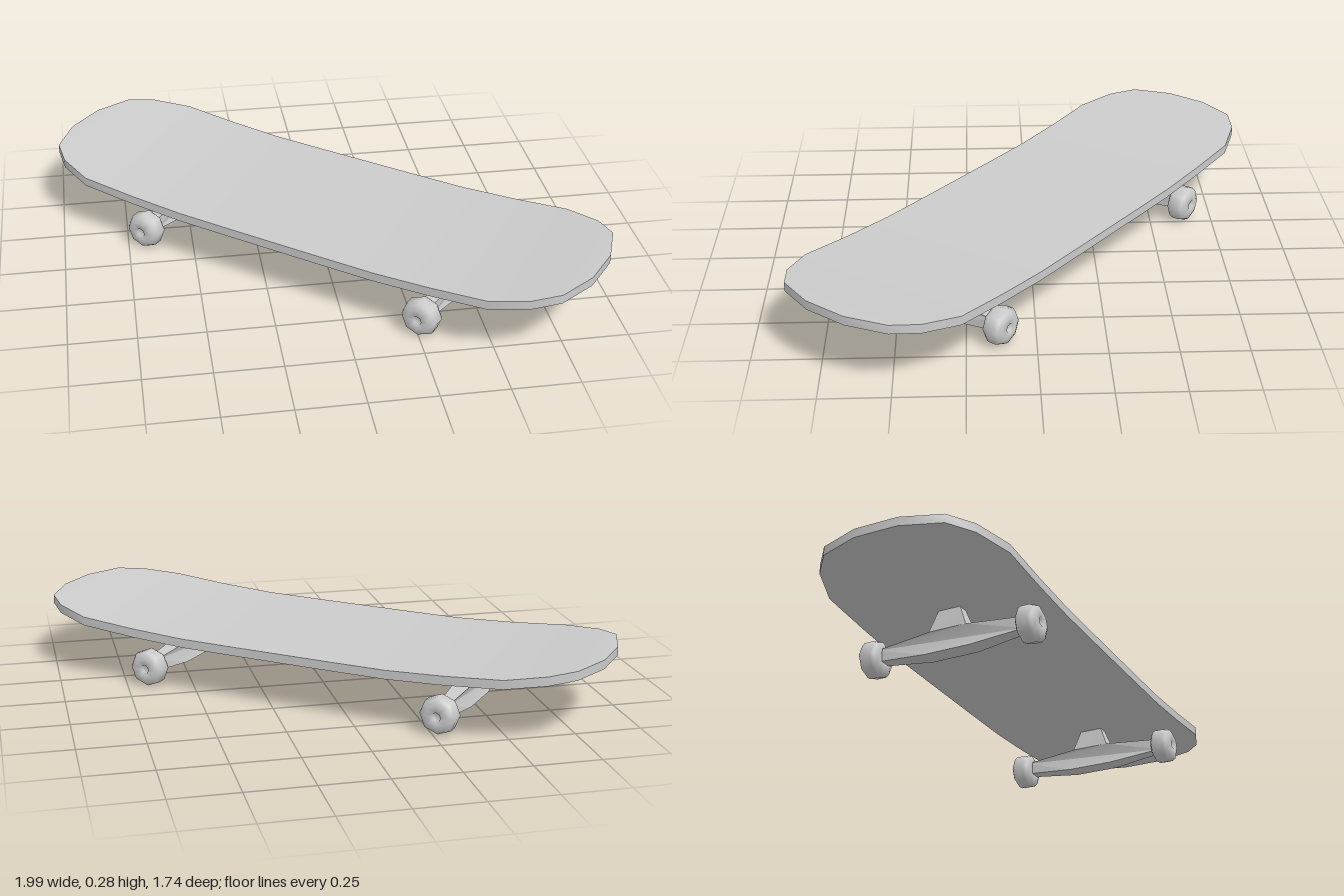
import * as THREE from 'three';
import { toCreasedNormals } from 'three/addons/utils/BufferGeometryUtils.js';

const grey = new THREE.MeshStandardMaterial({ color: 0xcccccc });

function addMesh(parent, name, geometry) {
  const mesh = new THREE.Mesh(geometry, grey);
  mesh.name = name;
  parent.add(mesh);
  return mesh;
}

// Deck: rectangular cross-sections lofted along x, with kicked-up rounded ends
function deckGeometry() {
  // distance from centre, half width, top height
  const half = [
    [0.2, 0.361, 0.22], [0.42, 0.361, 0.221], [0.64, 0.361, 0.232], [0.863, 0.361, 0.25],
    [1.006, 0.309, 0.268], [1.09, 0.237, 0.279], [1.139, 0.085, 0.282],
  ];
  const stations = [...half.map(([x, w, y]) => [-x, w, y]).reverse(), ...half];
  const thickness = 0.034;
  const positions = [];
  const index = [];
  stations.forEach(([x, w, y]) => {
    positions.push(x, y, w, x, y, -w, x, y - thickness, -w, x, y - thickness, w);
  });
  for (let i = 0; i < stations.length - 1; i++) {
    for (let k = 0; k < 4; k++) {
      const a = i * 4 + k, a1 = i * 4 + (k + 1) % 4;
      index.push(a, a + 4, a1, a + 4, a1 + 4, a1);
    }
  }
  const e = (stations.length - 1) * 4;
  index.push(0, 1, 2, 0, 2, 3, e, e + 2, e + 1, e, e + 3, e + 2);
  const g = new THREE.BufferGeometry();
  g.setAttribute('position', new THREE.Float32BufferAttribute(positions, 3));
  g.setIndex(index);
  return toCreasedNormals(g, 0.7);
}

// Truck: extruded hanger silhouette, thinner towards the axle ends and the top
function truckGeometry() {
  const right = [[0.09, 0.03], [0.3, 0.052], [0.3, 0.098], [0.075, 0.115], [0.042, 0.205]];
  const left = right.map(([x, y]) => [-x, y]).reverse();
  const shape = new THREE.Shape([...right, ...left].map(([x, y]) => new THREE.Vector2(x, y)));
  const g = new THREE.ExtrudeGeometry(shape, { depth: 1, bevelEnabled: false });
  g.translate(0, 0, -0.5);
  const p = g.attributes.position;
  for (let i = 0; i < p.count; i++) {
    const thin = Math.abs(p.getX(i)) > 0.2 || p.getY(i) > 0.15;
    p.setZ(i, p.getZ(i) * (thin ? 0.042 : 0.07));
  }
  g.rotateY(Math.PI / 2);
  return toCreasedNormals(g, 0.4);
}

// Wheel: eight-sided turned profile with a recessed hub on both faces
function wheelGeometry() {
  const side = [[0, 0.03], [0.016, 0.03], [0.018, 0.041], [0.044, 0.041], [0.064, 0.031], [0.072, 0.017]];
  const profile = [...side.map(([r, a]) => [r, -a]), ...side.slice().reverse()];
  const g = new THREE.LatheGeometry(profile.map(([r, a]) => new THREE.Vector2(r, a)), 8);
  g.rotateX(Math.PI / 2);
  return g;
}

export function createModel() {
  const model = new THREE.Group();
  model.name = 'skateboard';
  addMesh(model, 'deck', deckGeometry());

  const truckGeo = truckGeometry();
  const wheelGeo = wheelGeometry();
  for (const [name, x] of [['leftTruck', 0.595], ['rightTruck', -0.615]]) {
    const truck = new THREE.Group();
    truck.name = name;
    truck.position.x = x;
    addMesh(truck, 'hanger', truckGeo);
    for (const s of [-1, 1]) {
      addMesh(truck, s > 0 ? 'frontWheel' : 'backWheel', wheelGeo).position.set(0, 0.072, s * 0.316);
    }
    model.add(truck);
  }

  // The board stands diagonally
  model.rotation.y = -0.679;
  return model;
}
